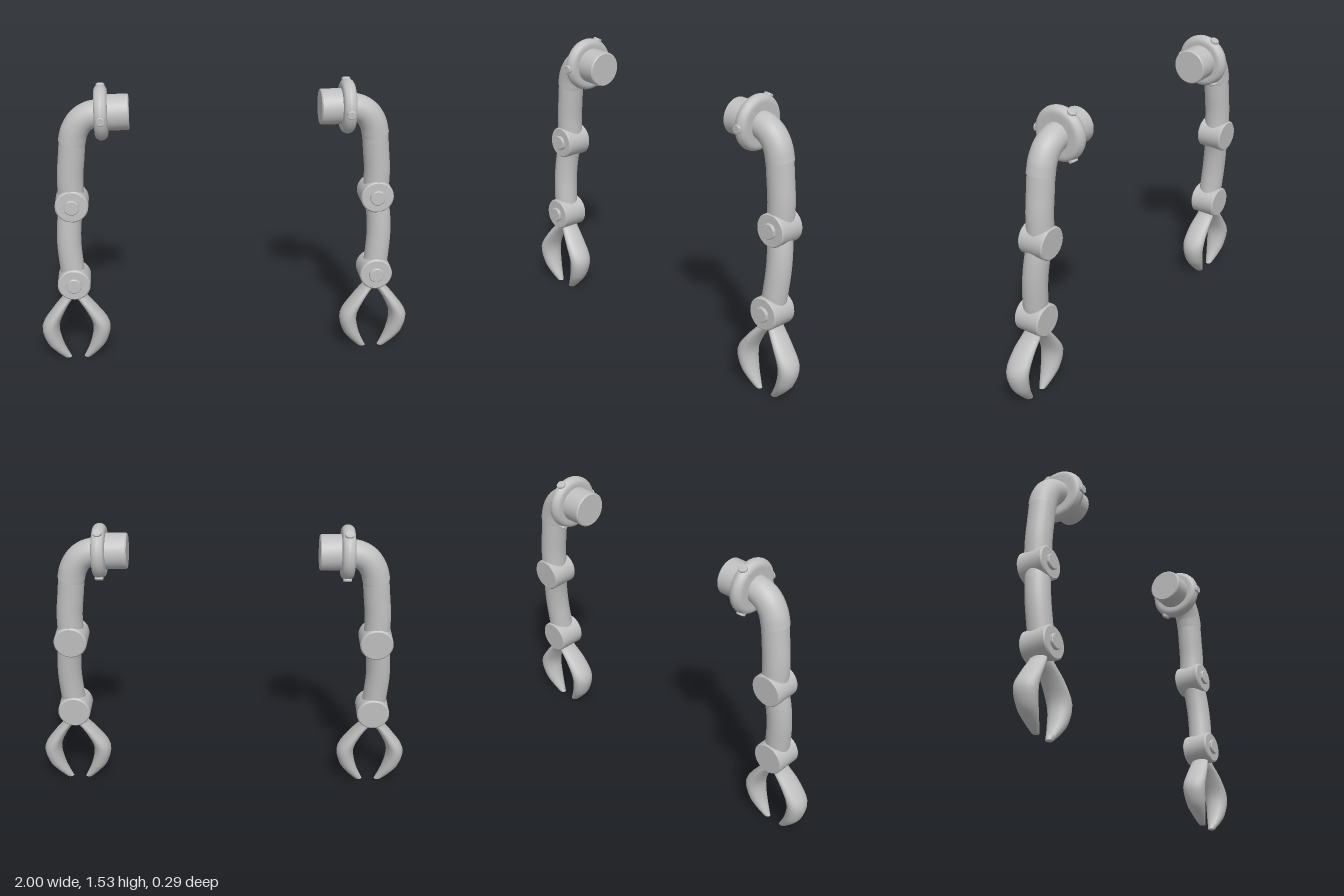
import * as THREE from 'three';
import { toCreasedNormals } from 'three/addons/utils/BufferGeometryUtils.js';

const V = (x, y, z) => new THREE.Vector3(x, y, z);

// Solid turned around +y from a [radius, height] profile, with crisp edges
function turned(profile, segments = 28) {
  const pts = profile.map(([r, h]) => new THREE.Vector2(r, h));
  return toCreasedNormals(new THREE.LatheGeometry(pts, segments), 0.6);
}

// Disc with a small bevel at both rims, from height a to height b
const bevelled = (r, a, b, c) => turned([[0, a], [r - c, a], [r, a + c], [r, b - c], [r - c, b], [0, b]]);

// Claw sections: [offset from wrist axis, y, z, half width, half depth]
const CLAW = [
  [0.008, 0.44, 0.042, 0.024, 0.044],
  [0.024, 0.385, 0.044, 0.026, 0.05],
  [0.085, 0.3, 0.056, 0.034, 0.061],
  [0.137, 0.2, 0.061, 0.046, 0.065],
  [0.12, 0.1, 0.063, 0.043, 0.053],
  [0.085, 0.04, 0.064, 0.031, 0.034],
  [0.054, 0, 0.064, 0.02, 0.017],
];

// Curved claw lofted through elliptical sections; dir is +1 or -1 along x
function clawGeometry(axisX, dir) {
  const rings = 22, sides = 20;
  const centre = new THREE.CatmullRomCurve3(CLAW.map(([o, y, z]) => V(axisX + dir * o, y, z)));
  const size = new THREE.CatmullRomCurve3(CLAW.map(([, , , w, d]) => V(w, d, 0)));
  const pos = [], idx = [];
  for (let i = 0; i <= rings; i++) {
    const c = centre.getPoint(i / rings), h = size.getPoint(i / rings);
    for (let j = 0; j < sides; j++) {
      const a = (j / sides) * Math.PI * 2;
      pos.push(c.x + Math.cos(a) * h.x, c.y, c.z + Math.sin(a) * h.y);
    }
  }
  for (let i = 0; i < rings; i++) {
    for (let j = 0; j < sides; j++) {
      const a = i * sides + j, b = i * sides + (j + 1) % sides;
      idx.push(a, b, a + sides, b, b + sides, a + sides);
    }
  }
  // Flat ends at the root and the tip
  const last = rings * sides;
  for (let j = 1; j < sides - 1; j++) {
    idx.push(0, j + 1, j, last, last + j, last + j + 1);
  }
  const g = new THREE.BufferGeometry();
  g.setAttribute('position', new THREE.Float32BufferAttribute(pos, 3));
  g.setIndex(idx);
  return toCreasedNormals(g, 0.9);
}

function createArm(s, grey) {
  const arm = new THREE.Group();
  arm.name = s > 0 ? 'leftArm' : 'rightArm';
  const add = (name, geometry, parent = arm) => {
    const m = new THREE.Mesh(geometry, grey);
    m.name = name;
    parent.add(m);
    return m;
  };
  const tube = (name, points, radius) => {
    const path = new THREE.CatmullRomCurve3(points.map(([x, y, z]) => V(s * x, y, z)));
    add(name, new THREE.TubeGeometry(path, 20, radius, 24));
  };

  // Shoulder: socket, rounded collar and three bolts around its rim
  const shoulder = new THREE.Group();
  shoulder.name = 'shoulder';
  shoulder.position.set(s * 0.632, 1.393, -0.002);
  arm.add(shoulder);
  const outward = -s * Math.PI / 2;
  add('shoulderSocket', bevelled(0.093, -0.142, 0.01, 0.006), shoulder).rotation.z = outward;
  const collar = [[0, -0.028], [0.1, -0.034]];
  for (let i = 0; i <= 10; i++) {
    const a = -Math.PI / 2 + (i / 10) * Math.PI;
    collar.push([0.112 + 0.03 * Math.cos(a), 0.034 * Math.sin(a)]);
  }
  collar.push([0.1, 0.034], [0, 0.028]);
  add('shoulderCollar', turned(collar, 32), shoulder).rotation.z = outward;
  for (let i = 0; i < 3; i++) {
    const a = (i / 3) * Math.PI * 2;
    const bolt = add('collarBolt', bevelled(0.023, -0.02, 0.009, 0.003), shoulder);
    bolt.position.set(0, 0.141 * Math.sin(a), 0.141 * Math.cos(a));
    bolt.rotation.x = Math.PI / 2 - a;
  }

  // Limb tubes
  tube('shoulderBend', [[0.62, 1.39, 0], [0.68, 1.386, 0], [0.735, 1.355, 0], [0.771, 1.3, 0], [0.788, 1.236, 0]], 0.071);
  tube('upperArm', [[0.782, 1.27, 0], [0.795, 1.15, 0], [0.806, 1.04, 0], [0.806, 0.9, 0]], 0.0685);
  tube('forearm', [[0.803, 0.9, 0.002], [0.823, 0.79, 0.015], [0.829, 0.68, 0.026], [0.823, 0.57, 0.035], [0.812, 0.46, 0.042]], 0.064);

  // Joint drums with a raised pin on the front
  const joint = (name, x, y, z, tilt) => {
    const g = new THREE.Group();
    g.name = name;
    g.position.set(s * x, y, z);
    g.rotation.x = Math.PI / 2 - tilt;
    arm.add(g);
    add(name + 'Drum', bevelled(0.087, -0.073, 0.073, 0.007), g);
    add(name + 'Pin', bevelled(0.04, 0.06, 0.088, 0.004), g);
  };
  joint('elbow', 0.804, 0.9, 0.003, 0.04);
  joint('wrist', 0.812, 0.462, 0.042, 0.03);

  // Pair of facing claws
  for (const dir of [1, -1]) {
    add(dir * s > 0 ? 'outerClaw' : 'innerClaw', clawGeometry(s * 0.815, dir));
  }
  return arm;
}

export function createModel() {
  const grey = new THREE.MeshStandardMaterial({ color: 0xc0c0c0 });
  grey.name = 'grey';
  const model = new THREE.Group();
  model.name = 'clawArms';
  for (const s of [1, -1]) model.add(createArm(s, grey));
  return model;
}
